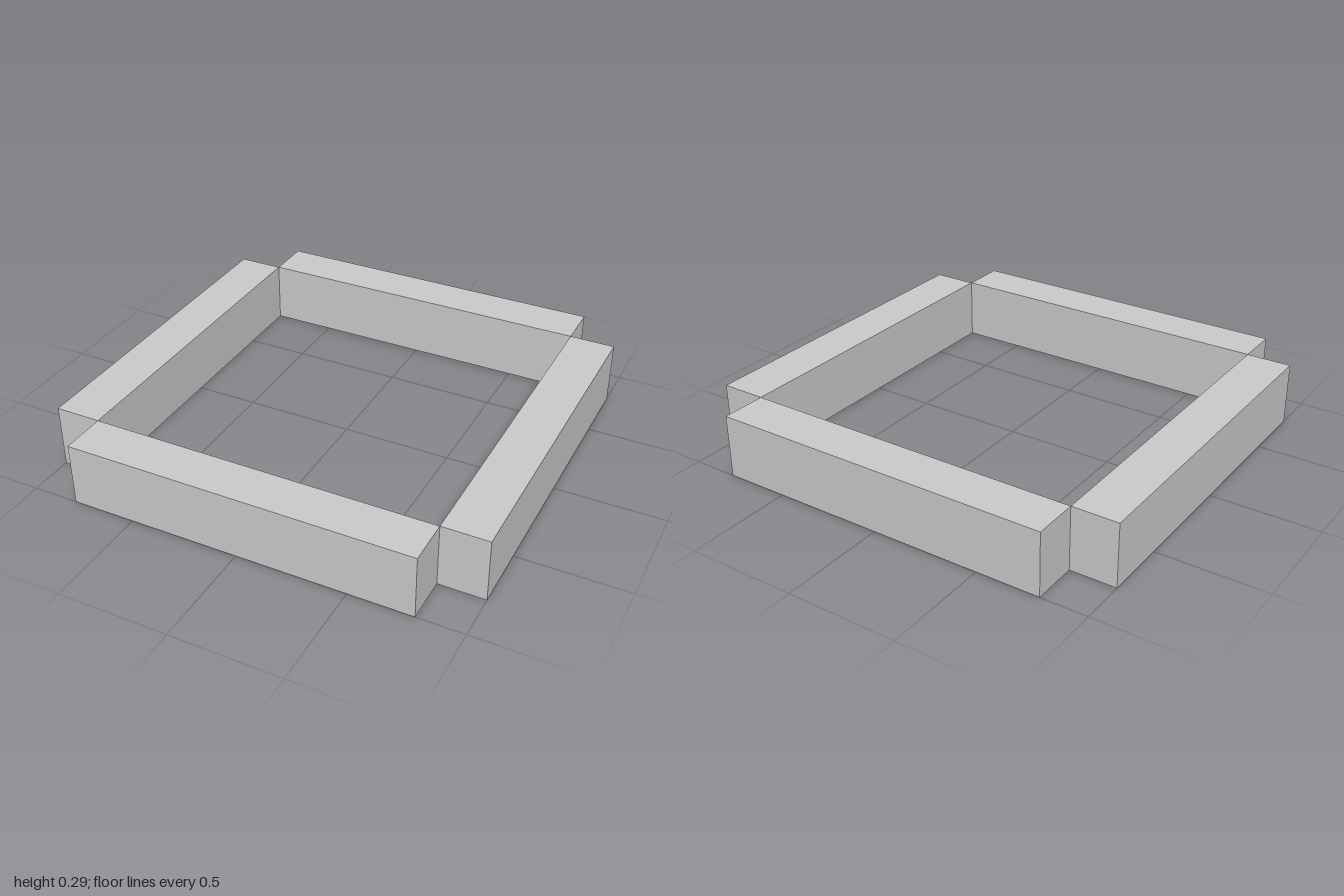
import * as THREE from 'three';

const OUTER = 1;     // half the overall width
const INNER = 0.79;  // half the opening
const HEIGHT = 0.29;

export function createModel() {
  const group = new THREE.Group();
  group.name = 'squareFrame';
  const material = new THREE.MeshStandardMaterial({ color: 0xcccccc, flatShading: true });

  // One beam, repeated on four sides; neighbours touch only along corner edges
  const beam = new THREE.BoxGeometry(2 * INNER, HEIGHT, OUTER - INNER);
  beam.translate(0, HEIGHT / 2, (OUTER + INNER) / 2);

  ['frontBeam', 'leftBeam', 'backBeam', 'rightBeam'].forEach((name, i) => {
    const mesh = new THREE.Mesh(beam, material);
    mesh.name = name;
    mesh.rotation.y = (i * Math.PI) / 2;
    group.add(mesh);
  });
  return group;
}
